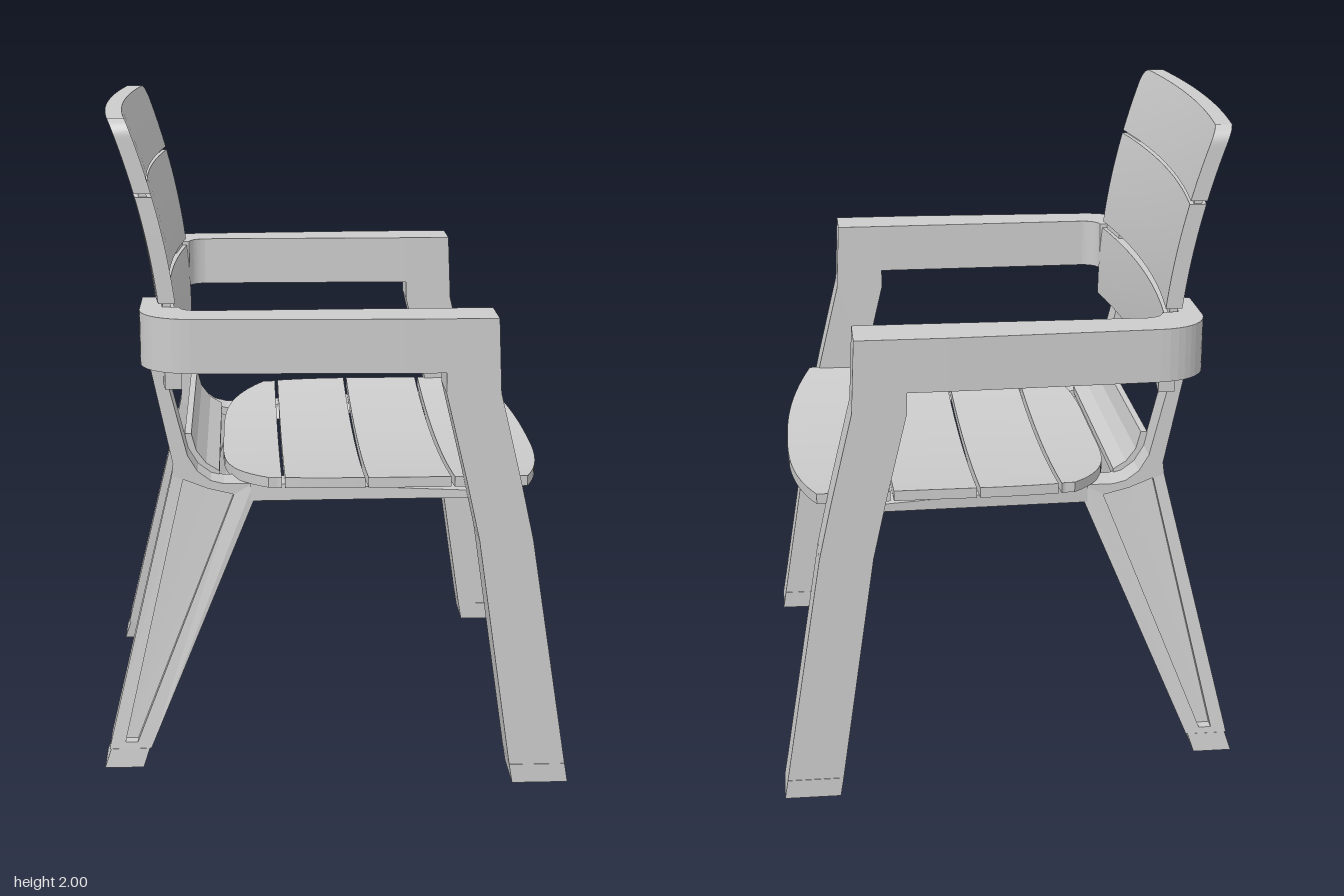
import * as THREE from 'three';

const material = new THREE.MeshStandardMaterial({ color: 0xcccccc });
const { lerp, clamp } = THREE.MathUtils;
const vec = (pts) => pts.map(([a, b]) => new THREE.Vector2(a, b));

function add(group, name, geometry) {
  const mesh = new THREE.Mesh(geometry, material);
  mesh.name = name;
  group.add(mesh);
}

// Moves every vertex by a rule and refreshes the normals
function reshape(geometry, rule) {
  const p = geometry.attributes.position;
  for (let i = 0; i < p.count; i++) p.setXYZ(i, ...rule(p.getX(i), p.getY(i), p.getZ(i)));
  geometry.computeVertexNormals();
  return geometry;
}

// Side outline (x, y) given a depth range that may vary; side -1 mirrors it
function slab(points, range, side = 1, hole = null) {
  const shape = new THREE.Shape(vec(points));
  if (hole) shape.holes.push(new THREE.Path(vec(hole)));
  const g = new THREE.ExtrudeGeometry(shape, { depth: 1, bevelEnabled: false });
  return reshape(g, (x, y, t) => {
    const [a, b] = range(x, y);
    return [x, y, side > 0 ? lerp(a, b, t) : lerp(-b, -a, t)];
  });
}

// Plan shape raised along y
function raise(shape, height) {
  return new THREE.ExtrudeGeometry(shape, { depth: height, bevelEnabled: false, curveSegments: 10 })
    .rotateX(-Math.PI / 2);
}

// Hollow foot, open below, leaning along with its leg
function foot(x0, x1, z0, z1, side, dx, dz) {
  const rect = (m) => vec([[x0 + m, -side * (z0 + m)], [x1 - m, -side * (z0 + m)],
    [x1 - m, -side * (z1 - m)], [x0 + m, -side * (z1 - m)]]);
  const shape = new THREE.Shape(rect(0));
  shape.holes.push(new THREE.Path(rect(0.025)));
  return reshape(raise(shape, 0.06), (x, y, z) => [x + dx * y / 0.06, y, z + side * dz * y / 0.06]);
}

// Bowed, reclining piece of the backrest between two heights and two depths
function backPiece(y0, y1, z0, z1, thick, inset, rounded) {
  return reshape(new THREE.BoxGeometry(1, 1, 1, 1, 24, 24), (px, py, pz) => {
    const y = lerp(y0, y1, py + 0.5);
    const k = rounded ? Math.max(0, (y - y1 + 0.05) / 0.05) : 0;
    const shrink = 1 - 0.08 * (1 - Math.sqrt(Math.max(0, 1 - k * k)));
    const z = lerp(z0, z1, pz + 0.5) * shrink;
    const bow = -0.035 * (1 - (z / 0.575) ** 2);
    const front = -0.45 - 0.234 * (y - 1.2) ** 2 + bow - inset;
    return [front - thick * (0.5 - px), y, z];
  });
}

// Seat slat, dished across the width, with its end edges curved in plan
function seatSlat(x0, x1, backEdge, frontEdge) {
  return reshape(new THREE.BoxGeometry(1, 1, 1, 10, 1, 36), (px, py, pz) => {
    const nominal = clamp(lerp(x0, x1, px + 0.5), -0.2, 0.1);
    const z = pz * 2 * (0.63 - 0.28 * (0.1 - nominal) ** 2);
    const x = lerp(x0 + backEdge(Math.abs(z)), x1 - frontEdge(Math.abs(z)), px + 0.5);
    return [x, 0.893 + 0.042 * (z / 0.63) ** 2 + (py - 0.5) * 0.032, z];
  });
}

function armShape(side) {
  const s = new THREE.Shape();
  const P = (x, z) => [x, -side * z];
  s.moveTo(...P(0.32, 0.62));
  s.lineTo(...P(0.32, 0.775));
  s.lineTo(...P(0.2, 0.775));
  s.lineTo(...P(-0.42, 0.752));
  s.bezierCurveTo(...P(-0.52, 0.745), ...P(-0.565, 0.68), ...P(-0.57, 0.61));
  s.lineTo(...P(-0.57, 0.42));
  s.lineTo(...P(-0.515, 0.42));
  s.lineTo(...P(-0.505, 0.57));
  s.lineTo(...P(-0.455, 0.575));
  s.quadraticCurveTo(...P(-0.45, 0.62), ...P(-0.4, 0.628));
  s.closePath();
  return s;
}

export function createModel() {
  const chair = new THREE.Group();
  chair.name = 'armchair';
  const none = () => 0;

  // Seat slats
  const cuts = [[-0.335, -0.155], [-0.145, 0.095], [0.105, 0.355], [0.365, 0.67]];
  cuts.forEach(([a, b], i) => add(chair, 'seatSlat', seatSlat(a, b,
    i === 0 ? (z) => 0.135 * (z / 0.6) ** 4 : none,
    i === 3 ? (z) => 0.085 * (z / 0.63) ** 2.4 : none)));

  // Backrest slats
  add(chair, 'lowerBackSlat', backPiece(1.2, 1.437, -0.575, 0.575, 0.05, 0, false));
  add(chair, 'middleBackSlat', backPiece(1.46, 1.775, -0.575, 0.575, 0.05, 0, false));
  add(chair, 'topBackSlat', backPiece(1.785, 2, -0.575, 0.575, 0.05, 0, true));

  // Curved cross piece between the back posts
  add(chair, 'rearCrossPiece', slab([[-0.45, 1.02], [-0.43, 1.02], [-0.415, 0.965], [-0.385, 0.925],
    [-0.345, 0.9], [-0.345, 0.875], [-0.4, 0.895], [-0.435, 0.94]], () => [-0.42, 0.42]));

  // Dished cross bar between the front legs
  add(chair, 'frontCrossBar', reshape(new THREE.BoxGeometry(0.045, 1, 1.26, 1, 1, 24),
    (x, y, z) => [x + 0.43, (y > 0 ? 0.866 : 0.82) + 0.042 * (z / 0.63) ** 2, z]));

  const legRange = (x, y) => {
    const t = Math.min(y / 0.85, 1);
    return [lerp(0.48, 0.41, t), lerp(0.62, 0.51, t)];
  };
  const recess = [[-0.645, 0.08], [-0.607, 0.08], [-0.3, 0.85], [-0.38, 0.87], [-0.455, 0.9]];

  for (const side of [1, -1]) {
    const half = new THREE.Group();
    half.name = side > 0 ? 'leftSide' : 'rightSide';
    chair.add(half);

    // Armrest and front leg
    add(half, 'armrest', raise(armShape(side), 0.16).translate(0, 1.29, 0));
    add(half, 'frontLeg', slab([[0.53, 0.06], [0.7, 0.06], [0.585, 0.78], [0.545, 0.96], [0.48, 1.23],
      [0.47, 1.45], [0.32, 1.45], [0.32, 1.23], [0.385, 0.96], [0.425, 0.78]], () => [0.62, 0.775], side));
    add(half, 'frontFoot', foot(0.54, 0.71, 0.618, 0.777, side, -0.01, 0));

    // Rear leg running up into the back post, with a recessed web
    add(half, 'rearLegAndPost', slab([[-0.695, 0.06], [-0.565, 0.06], [-0.24, 0.83], [-0.24, 0.885],
      [-0.33, 0.885], [-0.37, 0.895], [-0.41, 0.925], [-0.44, 0.975], [-0.495, 1.2], [-0.505, 1.4],
      [-0.56, 1.4], [-0.555, 1.29], [-0.485, 0.95], [-0.49, 0.91]], legRange, side, recess));
    add(half, 'rearLegWeb', slab(recess, (x, y) => {
      const [a, b] = legRange(x, y);
      return [lerp(a, b, 0.3), lerp(a, b, 0.75)];
    }, side));
    add(half, 'rearFoot', foot(-0.71, -0.59, 0.48, 0.62, side, 0.02, -0.007));

    // Seat rail flaring out to the front leg
    add(half, 'seatRail', slab([[-0.25, 0.83], [-0.12, 0.837], [0.43, 0.866], [0.43, 0.888], [-0.12, 0.888],
      [-0.25, 0.885]], (x) => {
      const t = clamp((x + 0.25) / 0.68, 0, 1);
      return [lerp(0.41, 0.46, Math.min(1, t * 4)), lerp(0.515, 0.622, t)];
    }, side));

    // Hidden strip joining the backrest slats
    const ends = side > 0 ? [0.41, 0.565] : [-0.565, -0.41];
    add(half, 'backJoiningStrip', backPiece(1.25, 1.9, ...ends, 0.024, 0.013, false));
  }
  return chair;
}
